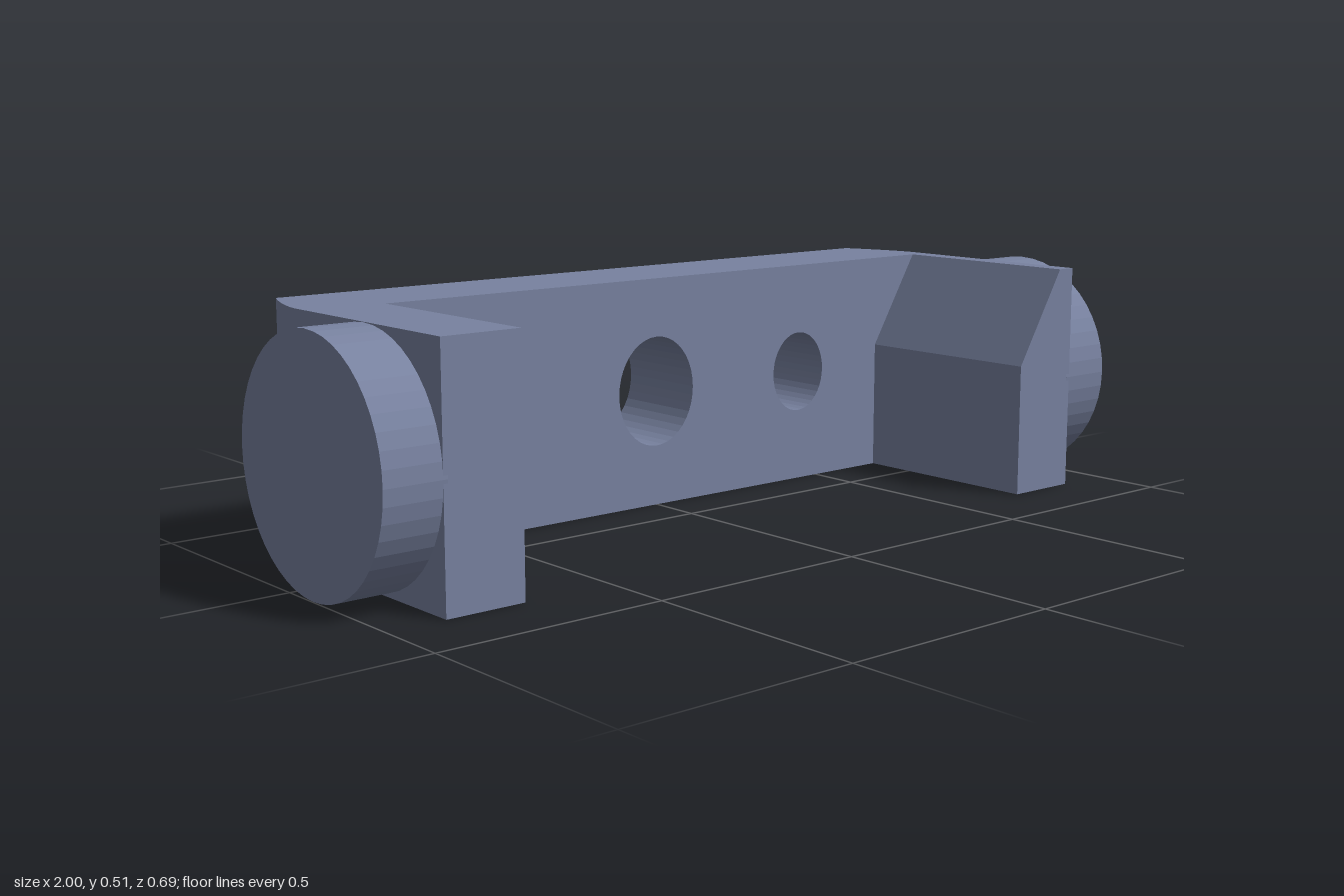
import * as THREE from 'three';

const HEIGHT = 0.515, BACK = -0.345, FRONT = 0.345, WALL_FRONT = -0.12;
const CHAMFER_TOP = 0.135, OUTER = 0.875, INNER = 0.7, HOLED = 0.8;

export function createModel() {
  const model = new THREE.Group();
  model.name = 'bracket';
  const slate = new THREE.MeshStandardMaterial({ color: 0x7882a0 });
  slate.name = 'slate blue';

  const add = (name, geometry) => {
    const mesh = new THREE.Mesh(geometry, slate);
    mesh.name = name;
    model.add(mesh);
    return mesh;
  };

  // Extrudes a front outline along z
  const extrude = (points, z0, z1, steps = 1, holes = []) => {
    const shape = new THREE.Shape(points.map(([x, y]) => new THREE.Vector2(x, y)));
    for (const [x, y, rx, ry] of holes) {
      shape.holes.push(new THREE.Path().absellipse(x, y, rx, ry, 0, Math.PI * 2, true));
    }
    const geometry = new THREE.ExtrudeGeometry(shape, {
      depth: z1 - z0, steps, bevelEnabled: false, curveSegments: 20,
    });
    return geometry.translate(0, 0, z0);
  };
  const rect = (x0, x1, y0, y1) => [[x0, y0], [x1, y0], [x1, y1], [x0, y1]];

  // Rounds the outer ends towards the back and chamfers the lower back edge
  const shapeWall = (geometry) => {
    const p = geometry.attributes.position;
    for (let i = 0; i < p.count; i++) {
      const x = p.getX(i), z = p.getZ(i);
      const t = Math.max(0, (-0.165 - z) / 0.18);
      if (Math.abs(x) > HOLED + 0.01) p.setX(i, Math.sign(x) * (OUTER - 0.055 * t ** 1.5));
      if (p.getY(i) < 0.001) p.setY(i, Math.max(0, -0.27 - z) * 1.8);
    }
    geometry.computeVertexNormals();
    return geometry;
  };

  // Back wall: drilled centre, rounded ends and chamfered lower beam
  add('wallCentre', extrude(rect(-HOLED, HOLED, CHAMFER_TOP, HEIGHT), BACK, WALL_FRONT, 1,
    [[0, 0.26, 0.107, 0.124], [0.438, 0.26, 0.08, 0.094]]));
  add('wallLower', shapeWall(extrude(rect(-OUTER, OUTER, 0, CHAMFER_TOP), BACK, WALL_FRONT, 9)));

  for (const [side, s] of [['left', 1], ['right', -1]]) {
    const xs = s > 0 ? [HOLED, OUTER] : [-OUTER, -HOLED];
    add(`${side}WallEnd`, shapeWall(extrude(rect(...xs, CHAMFER_TOP, HEIGHT), BACK, WALL_FRONT, 9)));

    // Round boss on the outside of each arm
    const disc = new THREE.CylinderGeometry(0.2565, 0.2565, 0.135, 48).toNonIndexed();
    disc.computeVertexNormals();
    disc.rotateZ(Math.PI / 2);
    add(`${side}Boss`, disc).position.set(s * 0.9325, HEIGHT / 2, 0.089);
  }

  // Arms: the left one has its upper inner corner cut away
  add('leftArm', extrude(
    [[INNER, 0], [OUTER, 0], [OUTER, HEIGHT], [0.83, HEIGHT], [INNER, 0.3]], WALL_FRONT, FRONT));
  add('rightArm', extrude(rect(-OUTER, -INNER, 0, HEIGHT), WALL_FRONT, FRONT));

  return model;
}
